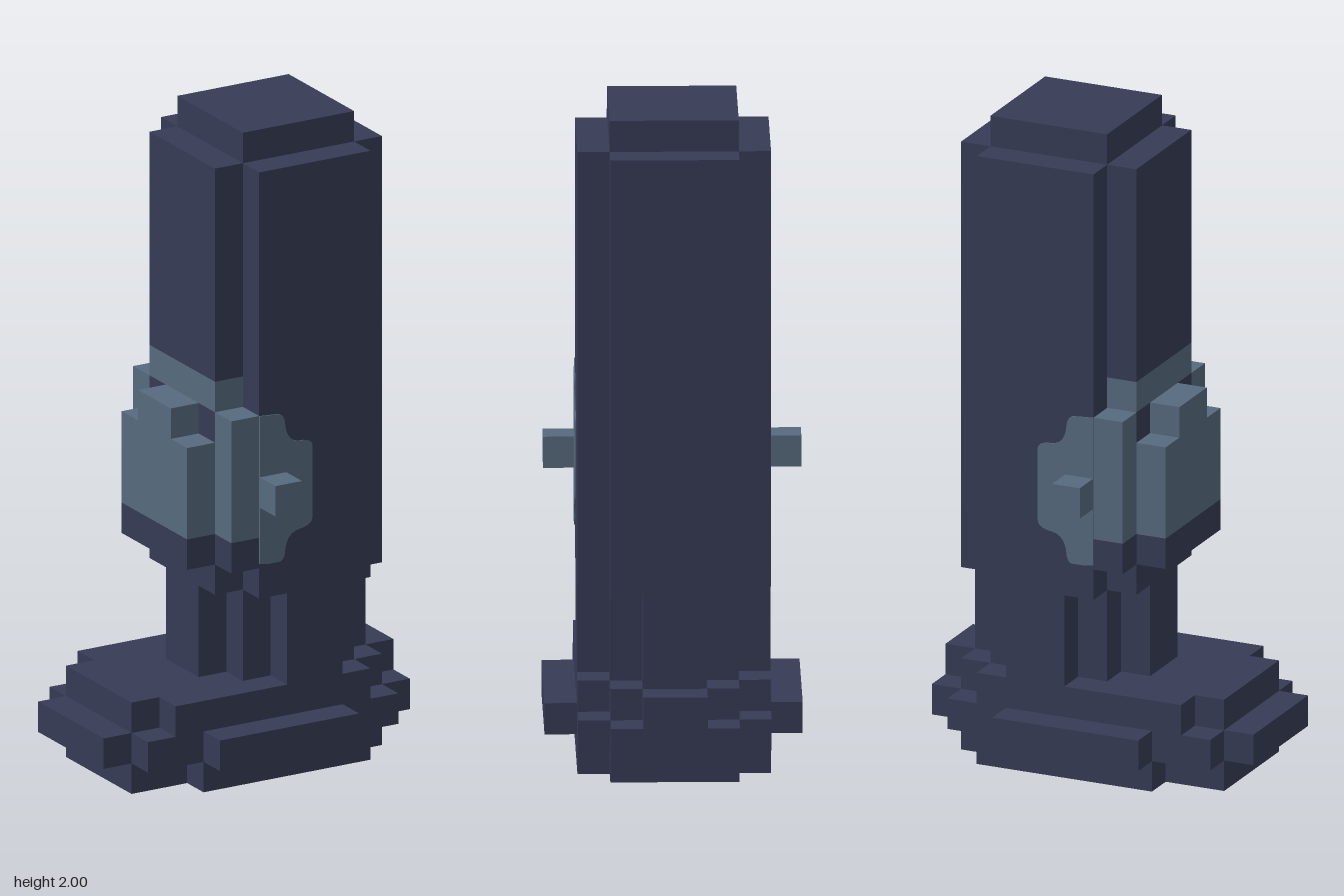
import * as THREE from 'three';

const U = 2 / 21; // one block

export function createModel() {
  const model = new THREE.Group();
  model.name = 'blockTower';
  const navy = new THREE.MeshStandardMaterial({ color: 0x363b55 });
  navy.name = 'darkNavy';
  const slate = new THREE.MeshStandardMaterial({ color: 0x566a7e });
  slate.name = 'slateBlue';

  // Box from its limits, in blocks
  function block(name, material, x0, x1, y0, y1, z0, z1) {
    const mesh = new THREE.Mesh(new THREE.BoxGeometry((x1 - x0) * U, (y1 - y0) * U, (z1 - z0) * U), material);
    mesh.position.set((x0 + x1) * U / 2, (y0 + y1) * U / 2, (z0 + z1) * U / 2);
    mesh.name = name;
    model.add(mesh);
  }
  // Box centred on z = 0
  const centred = (name, material, x0, x1, y0, y1, halfZ) => block(name, material, x0, x1, y0, y1, -halfZ, halfZ);

  // Stepped base
  centred('baseSole', navy, -4.5, 4.5, 0, 1, 2);
  centred('baseSoleWide', navy, -2.5, 3.5, 0, 1, 3);
  centred('baseMiddle', navy, -4.5, 4.5, 1, 2, 3);
  centred('baseEnds', navy, -5.5, 5.5, 1, 2, 2);
  centred('baseSides', navy, -2.5, 2.5, 1, 2, 4);
  centred('baseTop', navy, -4.5, 4.5, 2, 3, 2);
  centred('baseTopWide', navy, -3.5, 3.5, 2, 3, 3);
  centred('baseHeel', navy, 4.5, 5.5, 2, 3, 1);

  // Stepped neck
  centred('neckLong', navy, -1.5, 4.5, 3, 6, 1);
  centred('neckCore', navy, -0.5, 3.5, 3, 6, 2);
  centred('neckWide', navy, 0.5, 2.5, 3, 6, 3);

  // Column with notched corners, and its cap
  centred('columnCore', navy, -0.5, 3.5, 6, 20, 3);
  centred('columnBack', navy, 3.5, 4.5, 6, 20, 2);
  centred('columnPanelLower', navy, -1.5, -0.5, 6, 12, 2);
  centred('columnPanelBand', slate, -1.5, -0.5, 12, 13, 2);
  centred('columnPanelUpper', navy, -1.5, -0.5, 13, 20, 2);
  centred('cap', navy, -0.5, 3.5, 20, 21, 2);

  // Bulge on the narrow side
  centred('bulgeFoot', navy, -2.5, -1.5, 7, 8, 2);
  centred('bulge', slate, -2.5, -1.5, 8, 11, 2);
  centred('bulgeTop', slate, -2.5, -1.5, 11, 12, 1);

  // Rounded patch outline, in blocks
  const s = new THREE.Shape();
  const r = 0.3;
  s.moveTo(-0.5, 7.15);
  s.lineTo(-0.2, 7.1);
  s.lineTo(0.5 - r, 7.1);
  s.quadraticCurveTo(0.4, 7.1, 0.42, 7.5);
  s.quadraticCurveTo(0.5, 8, 0.9, 8.05);
  s.quadraticCurveTo(1.4, 8.1, 1.4, 8.4);
  s.lineTo(1.4, 10.7);
  s.quadraticCurveTo(1.4, 10.95, 0.9, 10.95);
  s.quadraticCurveTo(0.5, 11, 0.42, 11.5);
  s.quadraticCurveTo(0.4, 11.9, 0.5 - r, 11.95);
  s.lineTo(-0.5, 12);
  const patchGeometry = new THREE.ExtrudeGeometry(s, { depth: 0.04, bevelEnabled: false, curveSegments: 5 });
  patchGeometry.scale(U, U, U);

  // Corner fillers, patches and pegs on both sides
  for (const side of [1, -1]) {
    const z = (a, b) => (side > 0 ? [a, b] : [-b, -a]);
    block('cornerFoot', navy, -1.5, -0.5, 7, 8, ...z(2, 3));
    block('cornerFiller', slate, -1.5, -0.5, 8, 12, ...z(2, 3));
    block('peg', slate, -0.5, 0.45, 9, 10, ...z(3, 4));
    const patch = new THREE.Mesh(patchGeometry, slate);
    patch.name = 'sidePatch';
    patch.position.z = side > 0 ? 3 * U : -3.04 * U;
    model.add(patch);
  }
  return model;
}
